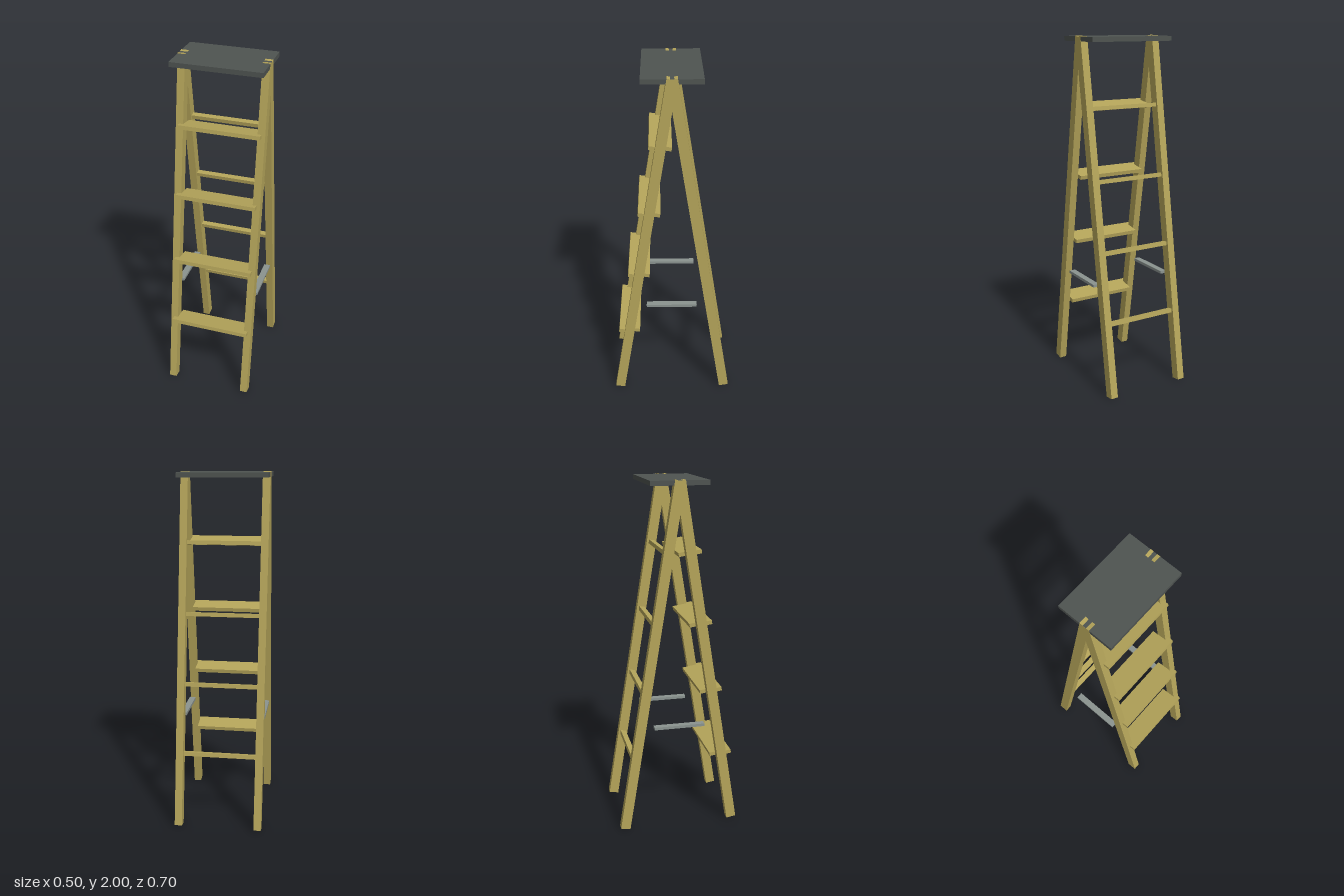
import * as THREE from 'three';

const wood = new THREE.MeshStandardMaterial({ color: 0xb5a55a });
wood.name = 'wood';
const darkTop = new THREE.MeshStandardMaterial({ color: 0x4f5451 });
darkTop.name = 'dark grey';
const metal = new THREE.MeshStandardMaterial({ color: 0x8b9490 });
metal.name = 'metal grey';

const TOP = 2.0;                       // height where the two frames meet
const SLOPE = 0.161;                   // z travelled per unit of height
const TILT = Math.atan(SLOPE);
const LEG_W = 0.042, LEG_D = 0.056, HALF = 0.25;
const INNER = HALF - LEG_W;            // inner face of the legs
const HEIGHTS = [0.42, 0.817, 1.214, 1.611];

function box(name, w, h, d, mat, x, y, z, tilt = 0) {
  const mesh = new THREE.Mesh(new THREE.BoxGeometry(w, h, d), mat);
  mesh.name = name;
  mesh.position.set(x, y, z);
  mesh.rotation.x = tilt;
  return mesh;
}

// Centre line of a frame at height y; side is +1 for front, -1 for back
const lineZ = (y, side) => side * (TOP - y) * SLOPE;

// Tread with notches that fit around the front legs
function treadGeometry() {
  const wide = 0.23, front = 0.062, notch = 0.028, t = 0.022;
  const shape = new THREE.Shape([
    [-wide, front], [-wide, notch], [-INNER, notch], [-INNER, -front],
    [INNER, -front], [INNER, notch], [wide, notch], [wide, front],
  ].map(([x, y]) => new THREE.Vector2(x, y)));
  const geo = new THREE.ExtrudeGeometry(shape, { depth: t, bevelEnabled: false });
  geo.translate(0, 0, -t / 2);
  geo.rotateX(Math.PI / 2);            // shape y becomes +z
  return geo;
}

export function createModel() {
  const model = new THREE.Group();
  model.name = 'stepladder';

  // Four leaning legs
  const low = 0.005, high = 1.995;
  const length = (high - low) / Math.cos(TILT) - LEG_D * SLOPE;
  const midY = (low + high) / 2;
  for (const side of [1, -1]) {
    for (const s of [1, -1]) {
      model.add(box((side > 0 ? 'front' : 'back') + (s > 0 ? 'LeftLeg' : 'RightLeg'),
        LEG_W, length + 0.008, LEG_D, wood,
        s * (HALF - LEG_W / 2), midY, lineZ(midY, side), -side * TILT));
    }
  }

  // Treads in front, slim rungs behind
  const tread = treadGeometry();
  HEIGHTS.forEach((y, i) => {
    const step = new THREE.Mesh(tread, wood);
    step.name = 'tread' + (i + 1);
    step.position.set(0, y, lineZ(y, 1));
    step.rotation.x = -TILT;
    model.add(step);
    model.add(box('backRung' + (i + 1), INNER * 2, 0.022, 0.032, wood, 0, y, lineZ(y, -1), TILT));
  });

  // Top platform, with the leg ends showing through
  model.add(box('topPlatform', HALF * 2 - 0.001, 0.026, 0.32, darkTop, 0, 1.983, 0));

  // Spreader bars
  for (const s of [1, -1]) {
    model.add(box(s > 0 ? 'leftSpreader' : 'rightSpreader',
      0.036, 0.016, 0.292, metal, s * (HALF - LEG_W / 2), 0.62, 0.002));
  }
  return model;
}
